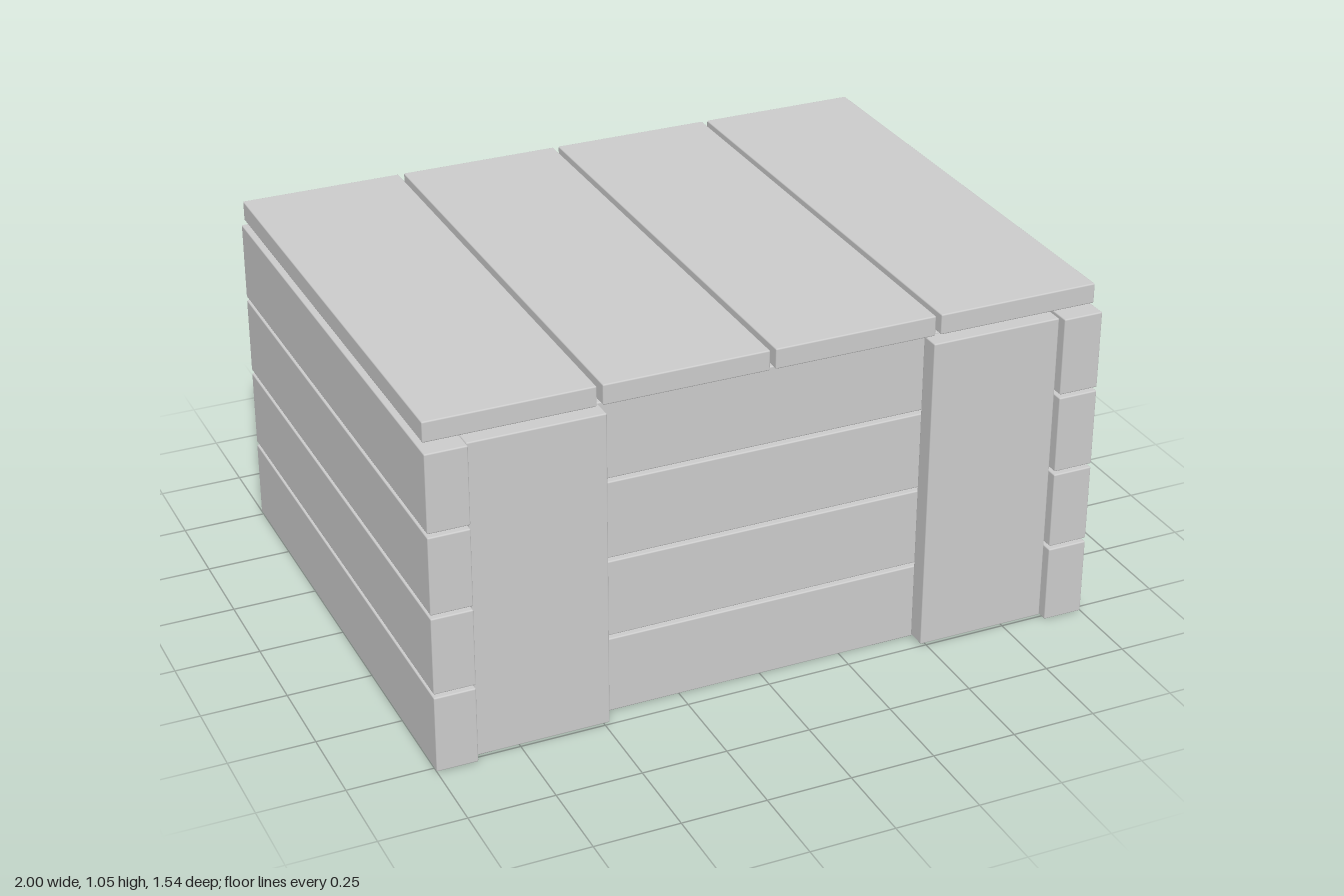
import * as THREE from 'three';
import { RoundedBoxGeometry } from 'three/addons/geometries/RoundedBoxGeometry.js';

const wood = new THREE.MeshStandardMaterial({ color: 0xcccccc });

// One slightly eased plank, given by its limits on each axis
function plank(parent, name, [x0, x1], [y0, y1], [z0, z1]) {
  const geometry = new RoundedBoxGeometry(x1 - x0, y1 - y0, z1 - z0, 2, 0.004);
  const mesh = new THREE.Mesh(geometry, wood);
  mesh.name = name;
  mesh.position.set((x0 + x1) / 2, (y0 + y1) / 2, (z0 + z1) / 2);
  parent.add(mesh);
}

function section(parent, name) {
  const group = new THREE.Group();
  group.name = name;
  parent.add(group);
  return group;
}

export function createModel() {
  const crate = new THREE.Group();
  crate.name = 'woodenCrate';

  // Four courses of horizontal planks on every wall
  const ends = section(crate, 'endWalls');
  const walls = section(crate, 'longWalls');
  for (let i = 0; i < 4; i++) {
    const y = [i * 0.245, i * 0.245 + 0.234];
    plank(ends, 'leftEndPlank', [0.88, 1], y, [-0.77, 0.77]);
    plank(ends, 'rightEndPlank', [-1, -0.88], y, [-0.77, 0.77]);
    plank(walls, 'frontPlank', [-0.878, 0.878], y, [0.63, 0.69]);
    plank(walls, 'backPlank', [-0.878, 0.878], y, [-0.705, -0.645]);
  }

  // Upright boards over the long walls, near the corners
  const uprights = section(crate, 'uprights');
  for (const x of [[0.482, 0.874], [-0.878, -0.486]]) {
    plank(uprights, 'frontUpright', x, [0.006, 0.966], [0.69, 0.75]);
    plank(uprights, 'backUpright', x, [0.006, 0.966], [-0.765, -0.705]);
  }

  // Floor boards, with one missing
  const floor = section(crate, 'floor');
  for (const x of [[0.45, 0.872], [0.005, 0.44], [-0.872, -0.44]]) {
    plank(floor, 'floorBoard', x, [0.01, 0.07], [-0.64, 0.625]);
  }

  // Lid: four boards front to back over a layer of cross boards
  const lid = section(crate, 'lid');
  for (let i = 0; i < 4; i++) {
    const x = -0.995 + i * 0.499;
    plank(lid, 'lidBoard', [x, x + 0.482], [0.99, 1.05], [-0.755, 0.747]);
    const z = -0.582 + i * 0.281;
    plank(lid, 'lidCrossBoard', [-0.767, 0.758], [0.92, 0.981], [z, z + 0.274]);
  }
  return crate;
}
